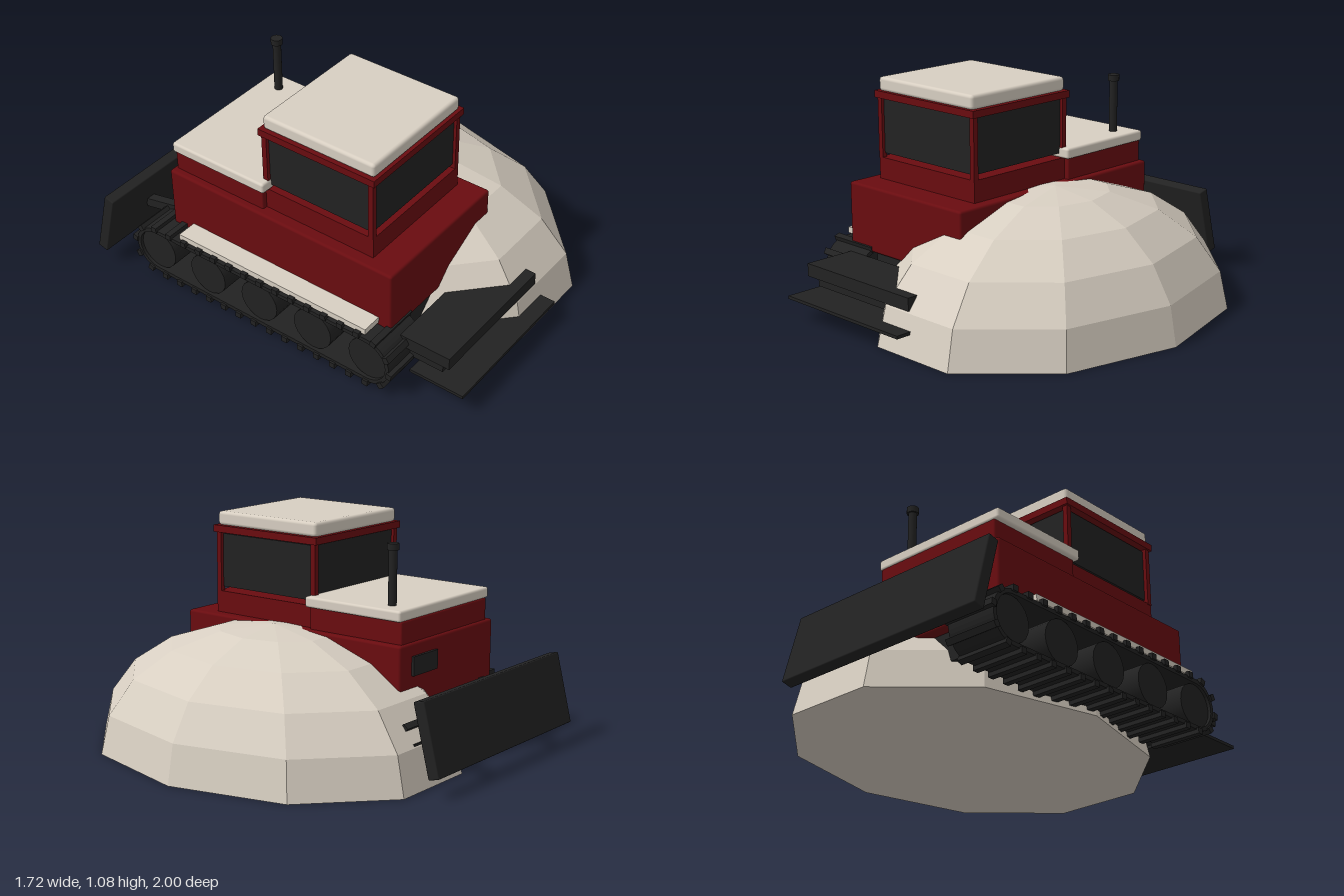
import * as THREE from 'three';
import { RoundedBoxGeometry } from 'three/addons/geometries/RoundedBoxGeometry.js';

const red = new THREE.MeshStandardMaterial({ color: 0x6a0c10 });
red.name = 'red paint';
const cream = new THREE.MeshStandardMaterial({ color: 0xd8cfc2 });
cream.name = 'cream trim';
const snow = new THREE.MeshStandardMaterial({ color: 0xd8cfc2, flatShading: true });
snow.name = 'snow';
const dark = new THREE.MeshStandardMaterial({ color: 0x222222 });
dark.name = 'dark metal';

const MID = -0.29; // centre line of the vehicle

export function createModel() {
  const model = new THREE.Group();
  model.name = 'snowGroomer';

  const add = (name, geometry, material, parent = model) => {
    const mesh = new THREE.Mesh(geometry, material);
    mesh.name = name;
    parent.add(mesh);
    return mesh;
  };
  // Box given by its limits, optionally with rounded edges
  const box = (name, mat, [x0, x1], [y0, y1], [z0, z1], r = 0, parent = model) => {
    const s = [x1 - x0, y1 - y0, z1 - z0];
    const g = r ? new RoundedBoxGeometry(...s, 2, r) : new THREE.BoxGeometry(...s);
    const mesh = add(name, g, mat, parent);
    mesh.position.set((x0 + x1) / 2, (y0 + y1) / 2, (z0 + z1) / 2);
    return mesh;
  };

  // Snow mound: faceted half ellipsoid with a closed base
  const mound = new THREE.Group();
  mound.name = 'snowMound';
  mound.position.set(0.125, 0, 0.04);
  mound.scale.set(0.735, 0.605, 0.957);
  add('moundDome', new THREE.SphereGeometry(1, 10, 5, 0, Math.PI * 2, 0, Math.PI / 2), snow, mound);
  add('moundBase', new THREE.CircleGeometry(1, 10), snow, mound).rotation.x = Math.PI / 2;
  model.add(mound);

  // Body and engine hood
  box('body', red, [-0.67, 0.09], [0.27, 0.59], [-0.655, 0.615], 0.012);
  box('chassis', dark, [-0.5, -0.08], [0.13, 0.28], [-0.6, 0.6]);
  box('hood', red, [-0.635, 0.06], [0.58, 0.695], [-0.64, -0.12], 0.008);
  box('hoodCover', cream, [-0.655, 0.075], [0.693, 0.745], [-0.64, -0.1], 0.012);
  box('grille', dark, [-0.19, 0], [0.44, 0.53], [-0.668, -0.65]);

  // Cab
  box('cabBase', red, [-0.61, 0.035], [0.58, 0.695], [-0.13, 0.475]);
  box('cabGlass', dark, [-0.595, 0.018], [0.715, 0.975], [-0.115, 0.46]);
  for (const x of [-0.6, 0.022]) {
    for (const z of [-0.117, 0.462]) {
      box('cabPost', red, [x - 0.013, x + 0.013], [0.69, 0.99], [z - 0.013, z + 0.013]);
    }
  }
  box('roofFrame', red, [-0.622, 0.045], [0.983, 1.017], [-0.142, 0.487]);
  box('roof', cream, [-0.605, 0.027], [1.015, 1.083], [-0.127, 0.475], 0.016);

  // Exhaust stack
  const pipe = add('exhaustPipe', new THREE.CylinderGeometry(0.02, 0.02, 0.27, 16), dark);
  pipe.position.set(-0.02, 0.875, -0.53);
  const cap = add('exhaustCap', new THREE.CylinderGeometry(0.028, 0.028, 0.03, 16), dark);
  cap.position.set(-0.02, 1.013, -0.53);

  // Tracks: belt loop, cleats and wheels
  const R = 0.125, HALF = 0.62;
  const loop = (r) => {
    const path = new THREE.Path();
    path.absarc(HALF, 0, r, -Math.PI / 2, Math.PI / 2, false);
    path.absarc(-HALF, 0, r, Math.PI / 2, Math.PI * 1.5, false);
    path.closePath();
    return path;
  };
  for (const side of [-1, 1]) {
    const track = new THREE.Group();
    track.name = side < 0 ? 'rightTrack' : 'leftTrack';
    track.position.set(MID + side * 0.365, 0.163, -0.06);
    model.add(track);

    const beltShape = new THREE.Shape(loop(R).getPoints(10));
    beltShape.holes.push(loop(R - 0.02));
    const belt = new THREE.ExtrudeGeometry(beltShape, { depth: 0.25, bevelEnabled: false, curveSegments: 10 });
    belt.translate(0, 0, -0.125).rotateY(-Math.PI / 2);
    add('belt', belt, dark, track);

    const path = loop(R + 0.006);
    const count = 36;
    for (let i = 0; i < count; i++) {
      const p = path.getPointAt(i / count);
      const t = path.getTangentAt(i / count);
      const cleat = add('cleat', new THREE.BoxGeometry(0.27, 0.028, 0.03), dark, track);
      cleat.position.set(0, p.y, p.x);
      cleat.rotation.x = -Math.atan2(t.y, t.x);
    }
    for (const z of [-0.62, -0.31, 0, 0.31, 0.62]) {
      const wheel = add('wheel', new THREE.CylinderGeometry(0.105, 0.105, 0.22, 20), dark, track);
      wheel.rotation.z = Math.PI / 2;
      wheel.position.z = z;
    }

    // Fender above the track
    const fx = MID + side * 0.425;
    box('fender', cream, [fx - 0.055, fx + 0.055], [0.3, 0.33], [-0.53, 0.55]);

    // Push arm to the blade
    const arm = add('bladeArm', new THREE.BoxGeometry(0.045, 0.045, 0.34), dark);
    arm.position.set(MID + side * 0.29, 0.275, -0.74);
    arm.rotation.x = -0.22;
  }

  // Tilted blade
  const blade = add('blade', new RoundedBoxGeometry(1.14, 0.345, 0.056, 2, 0.006), dark);
  blade.position.set(MID, 0.255, -0.928);
  blade.rotation.x = 0.25;

  // Snow tiller with finishing flap
  box('tillerCover', dark, [-0.64, 0.06], [0.195, 0.257], [0.645, 0.905]);
  box('tillerHousing', dark, [-0.62, 0.04], [0.14, 0.2], [0.66, 0.86]);
  box('finishingFlap', dark, [-0.67, 0.09], [0.1, 0.115], [0.72, 1]);

  return model;
}
